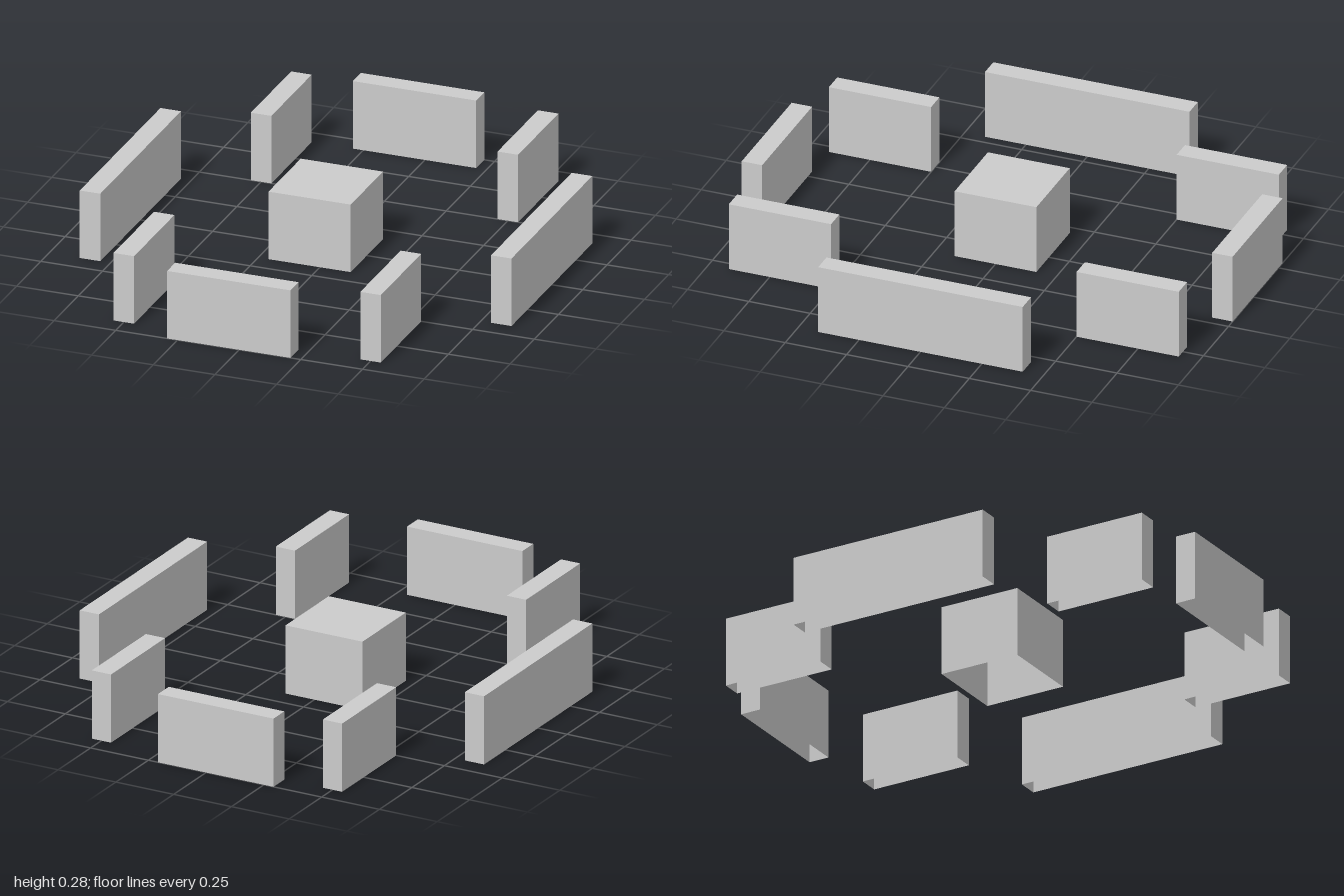
import * as THREE from 'three';

const U = 1 / 12; // grid module
const HEIGHT = 0.278;
const material = new THREE.MeshStandardMaterial({ color: 0xcccccc, flatShading: true, side: THREE.DoubleSide });

// Box standing on the ground with an open underside; spans given in modules
function block(name, x0, x1, z0, z1) {
  const geometry = new THREE.BoxGeometry((x1 - x0) * U, HEIGHT, (z1 - z0) * U);
  const index = Array.from(geometry.index.array);
  index.splice(18, 6); // drop the bottom face
  geometry.setIndex(index);
  geometry.clearGroups();
  const mesh = new THREE.Mesh(geometry, material);
  mesh.name = name;
  mesh.position.set((x0 + x1) / 2 * U, HEIGHT / 2, (z0 + z1) / 2 * U);
  return mesh;
}

export function createModel() {
  const group = new THREE.Group();
  group.name = 'wallRing';

  // Central block
  group.add(block('centreBlock', -2.5, 1.5, -2, 2));

  for (const [side, s] of [['left', 1], ['right', -1]]) {
    // Long side walls
    const x = 10 * s;
    group.add(block(`${side}LongWall`, x - 0.5, x + 0.5, -5, 5));
    // Short corner walls, front and back
    for (const [end, e] of [['Front', 1], ['Back', -1]]) {
      const cx = 6 * s, cz = 8.5 * e;
      group.add(block(`${side}${end}ShortWall`, cx - 0.5, cx + 0.5, cz - 2.5, cz + 2.5));
    }
  }

  // End walls across the front and back
  for (const [end, e] of [['front', 1], ['back', -1]]) {
    group.add(block(`${end}EndWall`, -3.5, 2.5, 11.5 * e - 0.5, 11.5 * e + 0.5));
  }
  return group;
}
